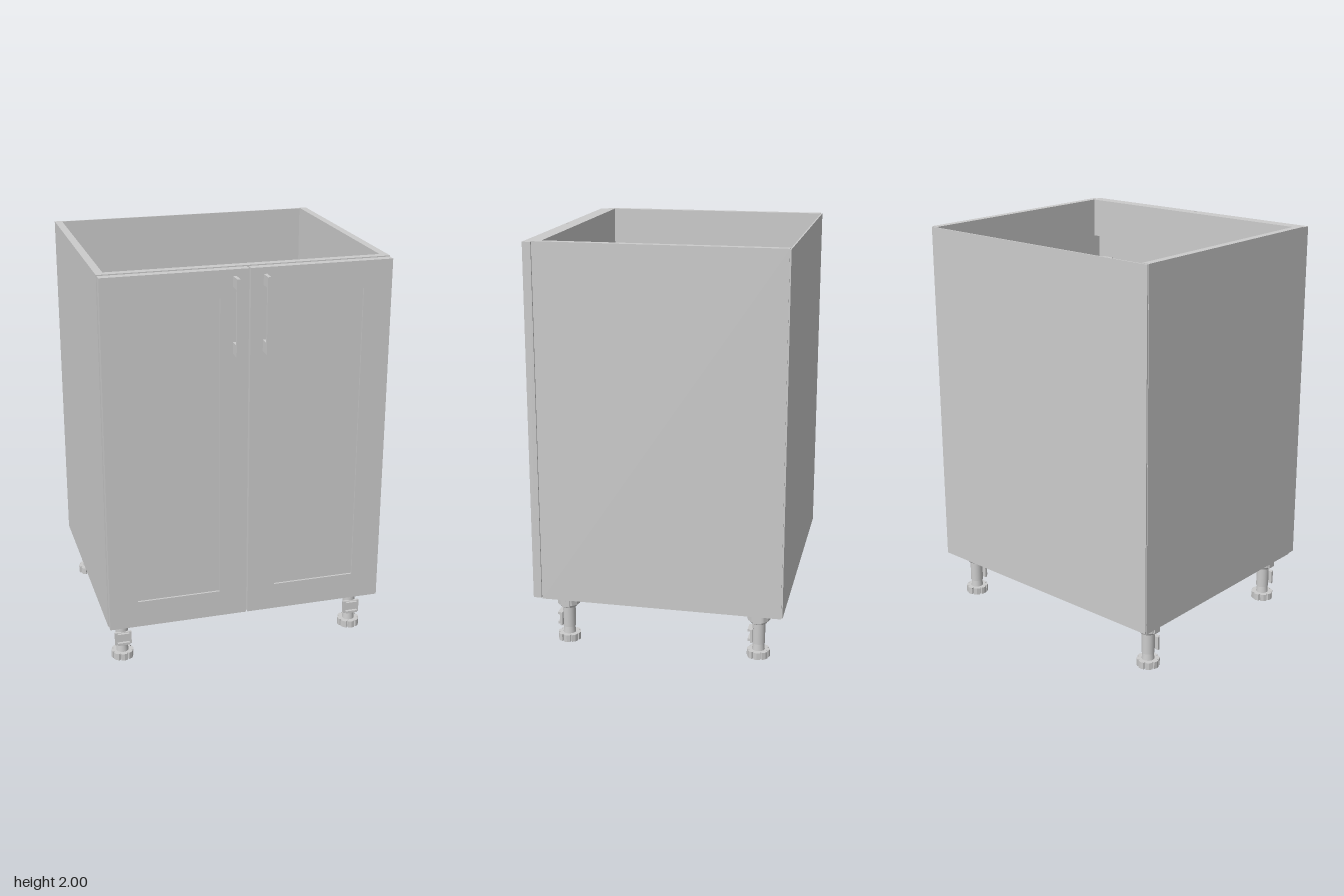
import * as THREE from 'three';

const grey = new THREE.MeshStandardMaterial({ color: 0xcccccc });
const flatGrey = new THREE.MeshStandardMaterial({ color: 0xcccccc, flatShading: true });

function add(parent, name, geometry, x = 0, y = 0, z = 0, material = grey) {
  const mesh = new THREE.Mesh(geometry, material);
  mesh.name = name;
  mesh.position.set(x, y, z);
  parent.add(mesh);
  return mesh;
}

// Box given by its minimum and maximum corners
function box(parent, name, x0, x1, y0, y1, z0, z1) {
  return add(parent, name, new THREE.BoxGeometry(x1 - x0, y1 - y0, z1 - z0),
    (x0 + x1) / 2, (y0 + y1) / 2, (z0 + z1) / 2);
}

function rect(path, x0, x1, y0, y1) {
  path.moveTo(x0, y0);
  path.lineTo(x1, y0);
  path.lineTo(x1, y1);
  path.lineTo(x0, y1);
  path.closePath();
  return path;
}

// Door: frame with an opening and a panel set slightly back
function makeDoor(side) {
  const door = new THREE.Group();
  door.name = side > 0 ? 'leftDoor' : 'rightDoor';
  const span = (a, b) => (side > 0 ? [a, b] : [-b, -a]);
  const [fx0, fx1] = span(0.004, 0.692);
  const [px0, px1] = span(0.14, 0.553);
  const shape = rect(new THREE.Shape(), fx0, fx1, 0.242, 1.996);
  shape.holes.push(rect(new THREE.Path(), px0, px1, 0.377, 1.865));
  add(door, 'doorFrame', new THREE.ExtrudeGeometry(shape, { depth: 0.041, bevelEnabled: false }), 0, 0, 0.544);
  box(door, 'doorPanel', px0, px1, 0.377, 1.865, 0.544, 0.575);

  // Bar handle on two feet
  const handle = new THREE.Group();
  handle.name = 'handle';
  const [hx0, hx1] = span(0.064, 0.08);
  box(handle, 'handleBar', hx0, hx1, 1.6, 1.965, 0.635, 0.649);
  box(handle, 'handleFoot', hx0, hx1, 1.6, 1.655, 0.585, 0.635);
  box(handle, 'handleFoot', hx0, hx1, 1.914, 1.965, 0.585, 0.635);
  door.add(handle);
  return door;
}

// Concealed hinge: plate on the side wall, tapered arm, cup behind the door
function makeHinge(side, y) {
  const hinge = new THREE.Group();
  hinge.name = 'hinge';
  box(hinge, 'mountingPlate', 0.648, 0.658, -0.055, 0.055, 0.40, 0.45);
  for (const s of [-1, 1]) {
    const screw = add(hinge, 'plateScrew', new THREE.CylinderGeometry(0.011, 0.011, 0.006, 12), 0.646, s * 0.037, 0.425);
    screw.rotation.z = Math.PI / 2;
  }
  const arm = new THREE.Shape([[0.65, 0.36], [0.628, 0.36], [0.612, 0.5], [0.602, 0.543], [0.64, 0.543], [0.65, 0.5]]
    .map(([x, z]) => new THREE.Vector2(x, -z)));
  const armMesh = add(hinge, 'hingeArm', new THREE.ExtrudeGeometry(arm, { depth: 0.036, bevelEnabled: false }), 0, -0.018, 0);
  armMesh.rotation.x = -Math.PI / 2;
  box(hinge, 'hingeCup', 0.56, 0.625, -0.05, 0.05, 0.53, 0.545);
  hinge.position.y = y;
  // A half turn about z mirrors this symmetric hinge to the other wall
  if (side < 0) hinge.rotation.z = Math.PI;
  return hinge;
}

// Adjustable leg: notched foot, column, clip and mounting flange
function makeLeg(x, z) {
  const leg = new THREE.Group();
  leg.name = 'leg';
  const foot = new THREE.Shape();
  const lobes = 8;
  for (let i = 0; i < lobes; i++) {
    const a = (i / lobes) * Math.PI * 2;
    for (const [t, r] of [[-0.3, 0.055], [0, 0.057], [0.3, 0.055], [0.34, 0.046], [0.44, 0.046]]) {
      const p = [Math.cos(a + t) * r, Math.sin(a + t) * r];
      if (i === 0 && t === -0.3) foot.moveTo(...p);
      else foot.lineTo(...p);
    }
  }
  foot.closePath();
  const footMesh = add(leg, 'foot', new THREE.ExtrudeGeometry(foot, { depth: 0.036, bevelEnabled: false }));
  footMesh.rotation.x = -Math.PI / 2;
  add(leg, 'threadedStem', new THREE.CylinderGeometry(0.026, 0.032, 0.05, 20), 0, 0.055);
  add(leg, 'column', new THREE.CylinderGeometry(0.032, 0.032, 0.125, 20), 0, 0.1325);
  add(leg, 'collar', new THREE.CylinderGeometry(0.05, 0.04, 0.02, 20), 0, 0.188);
  add(leg, 'flange', new THREE.CylinderGeometry(0.058, 0.056, 0.046, 12), 0, 0.217, 0, flatGrey);
  // Plinth clip facing the front
  box(leg, 'clipPlate', -0.042, 0.042, 0.082, 0.15, 0.024, 0.036);
  for (const y of [0.085, 0.135]) box(leg, 'clipJaw', -0.03, 0.03, y, y + 0.012, 0.036, 0.05);
  // Lugs below the flange
  for (const s of [-1, 1]) box(leg, 'flangeLug', s * 0.045 - 0.012, s * 0.045 + 0.012, 0.19, 0.236, -0.02, 0.02);
  leg.position.set(x, 0, z);
  return leg;
}

export function createModel() {
  const model = new THREE.Group();
  model.name = 'baseCabinet';

  // Carcass, open at the top
  const carcass = new THREE.Group();
  carcass.name = 'carcass';
  box(carcass, 'leftSide', 0.658, 0.695, 0.24, 2, -0.642, 0.54);
  box(carcass, 'rightSide', -0.695, -0.658, 0.24, 2, -0.642, 0.54);
  box(carcass, 'bottom', -0.658, 0.658, 0.24, 0.277, -0.642, 0.54);
  box(carcass, 'back', -0.692, 0.692, 0.243, 1.997, -0.649, -0.642);
  box(carcass, 'frontRail', -0.658, 0.658, 1.8, 2, 0.5, 0.54);
  box(carcass, 'backRail', -0.658, 0.658, 0.277, 0.5, -0.642, -0.605);
  model.add(carcass);

  for (const side of [1, -1]) {
    model.add(makeDoor(side));
    for (const y of [0.61, 1.63]) model.add(makeHinge(side, y));
    for (const z of [0.43, -0.525]) model.add(makeLeg(side * 0.607, z));
  }
  return model;
}
